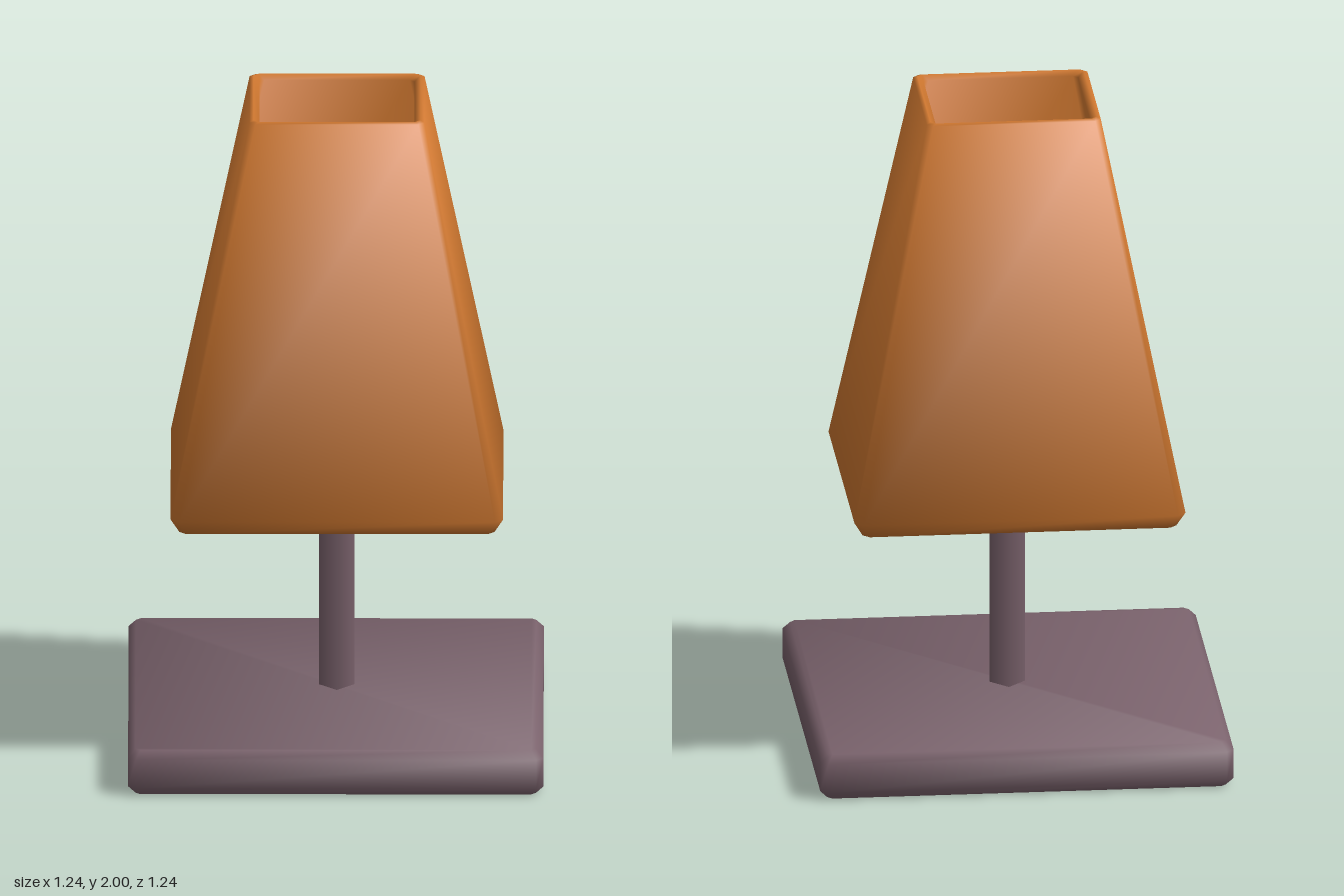
import * as THREE from 'three';

const shadeMaterial = new THREE.MeshStandardMaterial({ color: 0xd07830, side: THREE.DoubleSide });
shadeMaterial.name = 'orange fabric';
const bodyMaterial = new THREE.MeshStandardMaterial({ color: 0x7a626c, side: THREE.DoubleSide });
bodyMaterial.name = 'mauve wood';

// Rectangle with cut corners, counter-clockwise from above
function ring([w, d, y, cut]) {
  const a = w - cut, b = d - cut;
  return [[a, d], [w, b], [w, -b], [a, -d], [-a, -d], [-w, -b], [-w, b], [-a, d]]
    .map(([x, z]) => new THREE.Vector3(x, y, z));
}

// Joins rings into a skin; every face counts equally in the smooth normals
function loft(profile, { closed = false, capped = false } = {}) {
  const points = profile.flatMap(ring);
  const normals = points.map(() => new THREE.Vector3());
  const index = [];
  const rows = profile.length;

  for (let i = 0; i < (closed ? rows : rows - 1); i++) {
    for (let j = 0; j < 8; j++) {
      const k = (j + 1) % 8, next = (i + 1) % rows;
      const [a, b, c, d] = [i * 8 + j, i * 8 + k, next * 8 + k, next * 8 + j];
      index.push(a, b, c, a, c, d);
      const across = points[c].clone().sub(points[a]);
      const normal = across.cross(points[d].clone().sub(points[b])).normalize();
      [a, b, c, d].forEach((v) => normals[v].add(normal));
    }
  }
  if (capped) {
    const first = (rows - 1) * 8;
    for (let j = 1; j < 7; j++) index.push(first, first + j, first + j + 1);
    for (let j = 0; j < 8; j++) normals[first + j].y += 1;
  }

  const geometry = new THREE.BufferGeometry().setFromPoints(points);
  const flat = normals.flatMap((n) => n.normalize().toArray());
  geometry.setAttribute('normal', new THREE.Float32BufferAttribute(flat, 3));
  geometry.setIndex(index);
  return geometry;
}

export function createModel() {
  const lamp = new THREE.Group();
  lamp.name = 'tableLamp';

  const add = (name, geometry, material, x = 0, y = 0) => {
    const mesh = new THREE.Mesh(geometry, material);
    mesh.name = name;
    mesh.position.set(x, y, 0);
    lamp.add(mesh);
  };

  // Base: bevelled plate, open underneath
  add('base', loft([
    [0.6, 0.6, 0, 0.015],
    [0.622, 0.622, 0.025, 0.022],
    [0.622, 0.622, 0.115, 0.022],
    [0.6, 0.6, 0.14, 0.015],
  ], { capped: true }), bodyMaterial);

  // Stem: four-sided post, its corners on the axes
  add('stem', new THREE.CylinderGeometry(0.053, 0.053, 0.89, 4), bodyMaterial, 0.002, 0.525);

  // Shade: tapered shell, up the outside and down the inside
  add('shade', loft([
    [0.472, 0.413, 0.76, 0.02],
    [0.498, 0.435, 0.805, 0.025],
    [0.262, 0.23, 1.995, 0.018],
    [0.25, 0.219, 2, 0.016],
    [0.232, 0.203, 1.985, 0.014],
    [0.462, 0.4, 0.805, 0.02],
    [0.44, 0.38, 0.765, 0.018],
  ], { closed: true }), shadeMaterial, 0.003);

  return lamp;
}
